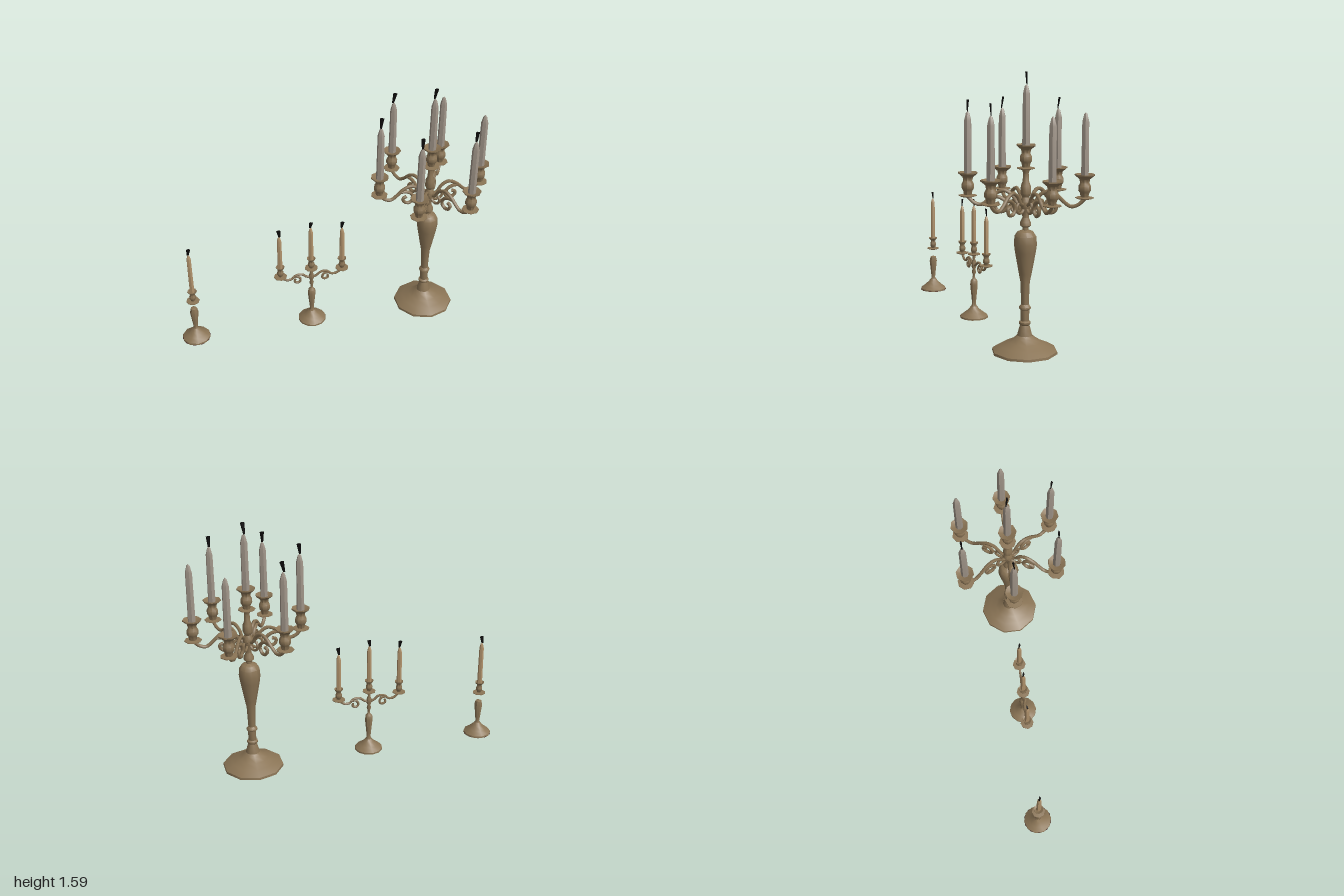
import * as THREE from 'three';
import { toCreasedNormals } from 'three/addons/utils/BufferGeometryUtils.js';

const material = (name, color) => {
  const m = new THREE.MeshStandardMaterial({ color, side: THREE.DoubleSide });
  m.name = name;
  return m;
};

export function createModel() {
  const brass = material('aged brass', 0x8a7455);
  const greyWax = material('grey wax', 0x9c9185);
  const tanWax = material('tan wax', 0xad8f69);
  const wickBlack = material('wick black', 0x0c0b0a);
  const felt = material('dark red felt', 0x3a1a1c);

  const add = (parent, name, geometry, mat, x = 0, y = 0, z = 0) => {
    const mesh = new THREE.Mesh(geometry, mat);
    mesh.name = name;
    mesh.position.set(x, y, z);
    parent.add(mesh);
    return mesh;
  };
  const group = (parent, name, x = 0, y = 0, z = 0) => {
    const g = new THREE.Group();
    g.name = name;
    g.position.set(x, y, z);
    parent.add(g);
    return g;
  };
  // Turned part from [radius, height] pairs, with sharp edges kept
  const turned = (profile, sides) => toCreasedNormals(
    new THREE.LatheGeometry(profile.map(([r, y]) => new THREE.Vector2(r, y)), sides), 0.7);
  // Swept arm lying in the x-y plane
  const swept = (points, radius) => new THREE.TubeGeometry(
    new THREE.CatmullRomCurve3(points.map(([x, y]) => new THREE.Vector3(x, y, 0))), points.length * 3, radius, 5);

  // Drip pan, socket, candle and wick; y = 0 is the underside of the pan
  const candleUnit = (parent, name, pos, o) => {
    const g = group(parent, name, ...pos);
    const { pan, rim, body, height: h, candle: r, top, wax, wick, turn = 0 } = o;
    add(g, 'dripPan', turned([[0, 0], [pan * 0.6, 0], [pan, 0.006], [pan, 0.01], [body * 0.6, 0.012]], 8), brass);
    add(g, 'socket', turned([
      [body * 0.6, 0.01], [body * 0.75, h * 0.25], [body, h * 0.35], [body, h * 0.52], [body * 0.72, h * 0.65],
      [body * 0.85, h * 0.8], [rim, h * 0.95], [rim, h], [r, h * 0.92]], 8), brass);
    const shoulder = top - r * 2.2;
    add(g, 'candle', turned([[r, h * 0.85], [r * 0.9, shoulder], [r * 0.45, top - r * 0.5], [0, top]], 6), wax);
    if (wick) {
      const w = add(g, 'wick', new THREE.CylinderGeometry(0.013, 0.006, wick, 4), wickBlack, 0, top + wick * 0.46, 0);
      w.scale.z = 0.5;
      w.rotation.set(0.12, turn, -0.12);
    }
    return g;
  };

  const root = new THREE.Group();
  root.name = 'candleholders';

  // Large six-armed candelabrum
  const large = group(root, 'largeCandelabrum', 0.61);
  add(large, 'base', turned([
    [0, 0], [0.19, 0], [0.188, 0.014], [0.14, 0.042], [0.095, 0.062], [0.06, 0.085], [0.045, 0.1]], 10), brass);
  add(large, 'column', turned([
    [0.045, 0.095], [0.036, 0.13], [0.027, 0.16], [0.034, 0.168], [0.034, 0.178], [0.024, 0.185], [0.026, 0.25],
    [0.034, 0.256], [0.034, 0.266], [0.022, 0.28], [0.027, 0.41], [0.037, 0.46], [0.06, 0.585], [0.066, 0.63],
    [0.062, 0.675], [0.046, 0.7], [0.018, 0.71], [0.018, 0.725], [0.032, 0.735], [0.03, 0.755], [0.018, 0.78],
    [0.022, 0.82], [0.03, 0.84], [0.03, 0.87], [0.02, 0.895], [0.03, 0.915], [0.028, 0.96], [0.018, 0.985],
    [0.016, 1.03], [0.024, 1.052]], 10), brass);
  const largeCup = { pan: 0.052, rim: 0.056, body: 0.035, height: 0.14, candle: 0.024, wax: greyWax };
  candleUnit(large, 'centreCandle', [0, 1.05, 0], { ...largeCup, top: 0.47, wick: 0.07 });
  const armGeometry = swept([
    [0.015, 0.85], [0.05, 0.865], [0.075, 0.905], [0.12, 0.93], [0.17, 0.912], [0.21, 0.875],
    [0.25, 0.848], [0.29, 0.858], [0.325, 0.892]], 0.011);
  const scrollGeometry = swept([
    [0.19, 0.895], [0.15, 0.892], [0.115, 0.87], [0.105, 0.835], [0.13, 0.81], [0.162, 0.82], [0.17, 0.848], [0.148, 0.858]], 0.011);
  const braceGeometry = swept([
    [0.015, 0.83], [0.045, 0.81], [0.075, 0.82], [0.085, 0.85], [0.07, 0.87]], 0.009);
  for (let k = 0; k < 6; k++) {
    const arm = group(large, 'arm');
    arm.rotation.y = -k * Math.PI / 3;
    add(arm, 'mainCurve', armGeometry, brass);
    add(arm, 'scroll', scrollGeometry, brass);
    add(arm, 'brace', braceGeometry, brass);
    candleUnit(arm, 'armCandle', [0.325, 0.89, 0],
      { ...largeCup, top: 0.48, wick: k % 5 === 0 ? 0 : 0.065, turn: k });
  }

  // Medium three-candle holder
  const medium = group(root, 'mediumCandelabrum', -0.15);
  add(medium, 'base', turned([
    [0, 0], [0.09, 0], [0.089, 0.01], [0.06, 0.032], [0.035, 0.052], [0.02, 0.072]], 12), brass);
  add(medium, 'stem', turned([
    [0.02, 0.07], [0.013, 0.085], [0.016, 0.12], [0.026, 0.215], [0.022, 0.24], [0.009, 0.255], [0.008, 0.28],
    [0.015, 0.295], [0.009, 0.315], [0.017, 0.335], [0.015, 0.36], [0.008, 0.38], [0.012, 0.408]], 8), brass);
  const smallCup = { pan: 0.042, rim: 0.028, body: 0.021, height: 0.085, candle: 0.016, wax: tanWax };
  candleUnit(medium, 'centreCandle', [0, 0.405, 0], { ...smallCup, top: 0.32, wick: 0.04 });
  const smallArm = swept([
    [0.01, 0.34], [0.035, 0.35], [0.06, 0.37], [0.1, 0.37], [0.13, 0.345], [0.165, 0.345], [0.2, 0.376]], 0.008);
  const smallScroll = swept([
    [0.12, 0.36], [0.085, 0.355], [0.07, 0.33], [0.085, 0.312], [0.108, 0.32], [0.105, 0.34]], 0.008);
  for (const turn of [0, Math.PI]) {
    const arm = group(medium, 'arm');
    arm.rotation.y = turn;
    add(arm, 'mainCurve', smallArm, brass);
    add(arm, 'scroll', smallScroll, brass);
    candleUnit(arm, 'armCandle', [0.2, 0.372, 0], { ...smallCup, top: 0.32, wick: 0.045 });
  }

  // Small single candlestick, its socket standing clear of the stem
  const small = group(root, 'singleCandlestick', -0.91);
  add(small, 'base', turned([
    [0.09, 0.001], [0.088, 0.011], [0.06, 0.032], [0.035, 0.055], [0.018, 0.077]], 10), brass);
  const pad = add(small, 'feltPad', new THREE.CircleGeometry(0.09, 10), felt);
  pad.rotation.x = Math.PI / 2;
  add(small, 'stem', turned([
    [0.018, 0.075], [0.013, 0.085], [0.017, 0.12], [0.027, 0.205], [0.02, 0.235], [0, 0.242]], 8), brass);
  candleUnit(small, 'singleCandle', [0, 0.288, 0], { ...smallCup, rim: 0.03, top: 0.365, wick: 0.045 });

  return root;
}
